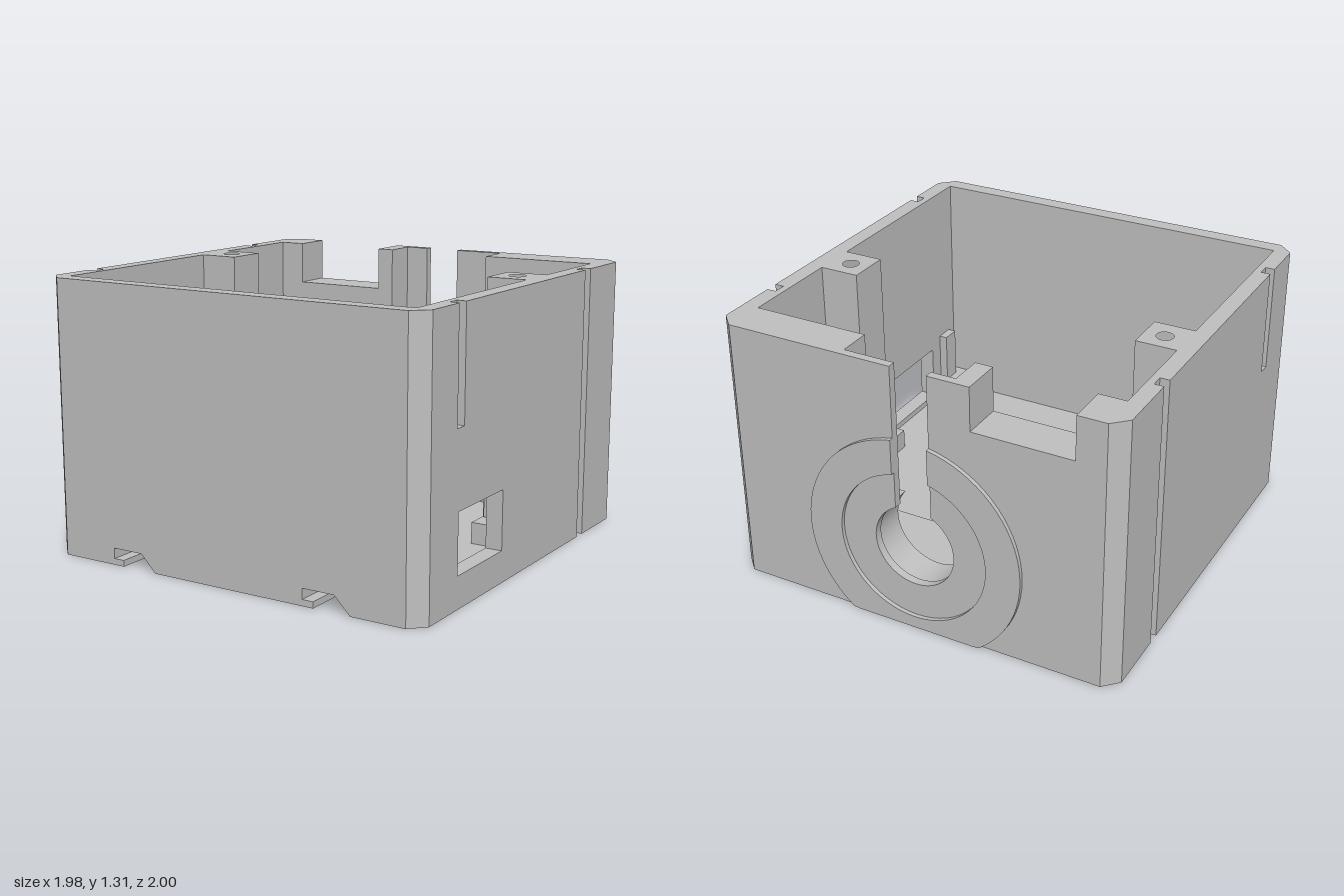
import * as THREE from 'three';

const grey = new THREE.MeshStandardMaterial({ color: 0xc0c0c0 });
grey.name = 'grey plastic';

const H = 1.31, FLOOR = 0.12, OUT = 0.99, IN = 0.91, GROOVE = 0.945, HUB = 0.43;

const toShape = (pts) => new THREE.Shape(pts.map(([x, y]) => new THREE.Vector2(x, y)));
const mirrorX = (pts) => pts.map(([x, z]) => [-x, z]);

// points of an arc around (0, HUB)
function arc(r, from, to, n = 64, minY = -Infinity) {
  return Array.from({ length: n + 1 }, (_, i) => {
    const a = from + (to - from) * i / n;
    return [r * Math.cos(a), Math.max(HUB + r * Math.sin(a), minY)];
  });
}

export function createModel() {
  const model = new THREE.Group();
  model.name = 'electronicsEnclosure';

  function add(name, geometry) {
    const mesh = new THREE.Mesh(geometry, grey);
    mesh.name = name;
    model.add(mesh);
    return mesh;
  }
  function box(name, x0, x1, y0, y1, z0, z1) {
    const g = new THREE.BoxGeometry(x1 - x0, y1 - y0, z1 - z0);
    add(name, g.translate((x0 + x1) / 2, (y0 + y1) / 2, (z0 + z1) / 2));
  }
  // footprint of [x, z] points raised from y0 to y1, with an optional round hole
  function raise(name, pts, y0, y1, hole) {
    const shape = toShape(pts.map(([x, z]) => [x, -z]));
    if (hole) shape.holes.push(new THREE.Path().absarc(hole[0], -hole[1], hole[2], 0, Math.PI * 2, true));
    const g = new THREE.ExtrudeGeometry(shape, { depth: y1 - y0, bevelEnabled: false, curveSegments: 24 });
    add(name, g.rotateX(-Math.PI / 2).translate(0, y0, 0));
  }
  // [x, y] profile running from z0 to z1
  function run(name, pts, z0, z1) {
    const g = new THREE.ExtrudeGeometry(toShape(pts), { depth: z1 - z0, bevelEnabled: false });
    add(name, g.translate(0, 0, z0));
  }

  // outer edge of the +x side from back to front, with its vertical grooves
  const groove = (z0, z1) => [[OUT, z0], [GROOVE, z0], [GROOVE, z1], [OUT, z1]];
  const back = [[0.92, -0.98], [OUT, -0.91], ...groove(-0.6, -0.54)];
  const front = [[OUT, 0.93], [0.92, 1]];
  const backEnd = [[IN, -0.78], [0.78, -0.78], [0.78, -0.98]];
  const side = (shortSlot) => [...back, ...(shortSlot ? groove(0.65, 0.71) : []), ...front];

  // front and side walls, in levels around the side window and the short slots
  const wall = (shortSlot) => {
    const half = [[IN, 0.92], ...backEnd, ...side(shortSlot)];
    return [...half, ...mirrorX(half).reverse()];
  };
  raise('lowerWalls', wall(false), FLOOR, 0.15);
  raise('windowLevelWalls',
    [[IN, 0.92], [IN, 0.69], [OUT, 0.69], ...front,
      ...mirrorX([[IN, 0.92], ...backEnd, ...side(false)]).reverse()], 0.15, 0.43);
  raise('windowLevelRearWall', [...backEnd, ...back, [OUT, 0.28], [IN, 0.28]], 0.15, 0.43);
  raise('middleWalls', wall(false), 0.43, 0.79);
  raise('upperWalls', wall(true), 0.79, H);

  // floor with two undercut rail channels
  const channel = (x) => [[x + 0.055, 0], [x + 0.055, 0.03], [x, 0.03], [x, 0.08], [x + 0.16, 0.08], [x + 0.24, 0]];
  run('railFloor', [[-IN, 0], ...channel(-0.63), ...channel(0.412), [IN, 0], [IN, FLOOR], [-IN, FLOOR]], -0.72, 1);
  box('rearFloor', -IN, IN, 0, FLOOR, -0.98, -0.72);
  const strip = [[IN, 1], [IN, -0.98], ...side(false)];
  raise('leftFloorEdge', strip, 0, FLOOR);
  raise('rightFloorEdge', mirrorX(strip), 0, FLOOR);

  // back wall: outer skin with a keyhole slot, inner layer with a bore and pocket
  const backWall = (opening) => [[-0.78, FLOOR], [0.78, FLOOR], [0.78, H], ...opening,
    [-0.295, H], [-0.295, 1.1], [-0.78, 1.1]];
  const slotArc = (r, minY) => {
    const a = Math.acos(0.09 / r);
    return arc(r, a, -Math.PI - a, 72, minY);
  };
  run('backWallSkin', backWall([[0.09, H], ...slotArc(0.2), [-0.09, H]]), -0.98, -0.94);
  const pocketFloor = HUB + 0.13;
  run('backWallInner', backWall([[0.34, H], [0.34, pocketFloor],
    ...arc(0.21, Math.asin(0.13 / 0.21), -Math.PI), [-0.21, H]]), -0.94, -0.78);

  // raised ring around the keyhole, cut off at the base
  run('backRing', [...slotArc(0.54, 0), ...slotArc(0.37).reverse()], -1, -0.98);

  // slotted holder behind the back wall
  box('holderBase', -0.455, 0.81, FLOOR, 0.2, -0.78, -0.47);
  const clamp = (edge, slot, mouth) => [[edge, -0.78], [mouth, -0.78], [mouth, -0.63], [slot, -0.63],
    [slot, -0.535], [mouth, -0.535], [mouth, -0.47], [edge, -0.47]];
  raise('holderRightClamp', clamp(-0.455, -0.375, -0.205), 0.2, 0.61);
  raise('holderLeftClamp', clamp(0.81, 0.73, 0.56), 0.2, 0.61);

  for (const s of [-1, 1]) {
    const span = (a, b) => s > 0 ? [a, b] : [-b, -a];
    // screw bosses with blind holes
    const [x0, x1] = span(0.715, IN);
    const boss = [[x0, -0.28], [x1, -0.28], [x1, -0.07], [x0, -0.07]];
    raise('screwBossBase', boss, FLOOR, 0.9);
    raise('screwBossTop', boss, 0.9, H, [s * 0.812, -0.18, 0.04]);
    // circuit board posts and stops
    const post = span(0.78, IN);
    box('boardStop', ...post, FLOOR, 0.32, 0, 0.05);
    box('boardPost', ...post, FLOOR, 0.22, 0.06, 0.17);
    box('cornerPost', ...post, FLOOR, 0.22, 0.79, 0.92);
  }

  // ribs either side of the window
  box('windowRib', 0.868, IN, FLOOR, 0.48, 0.09, 0.185);
  box('windowRib', 0.868, IN, FLOOR, 0.48, 0.77, 0.865);

  return model;
}
